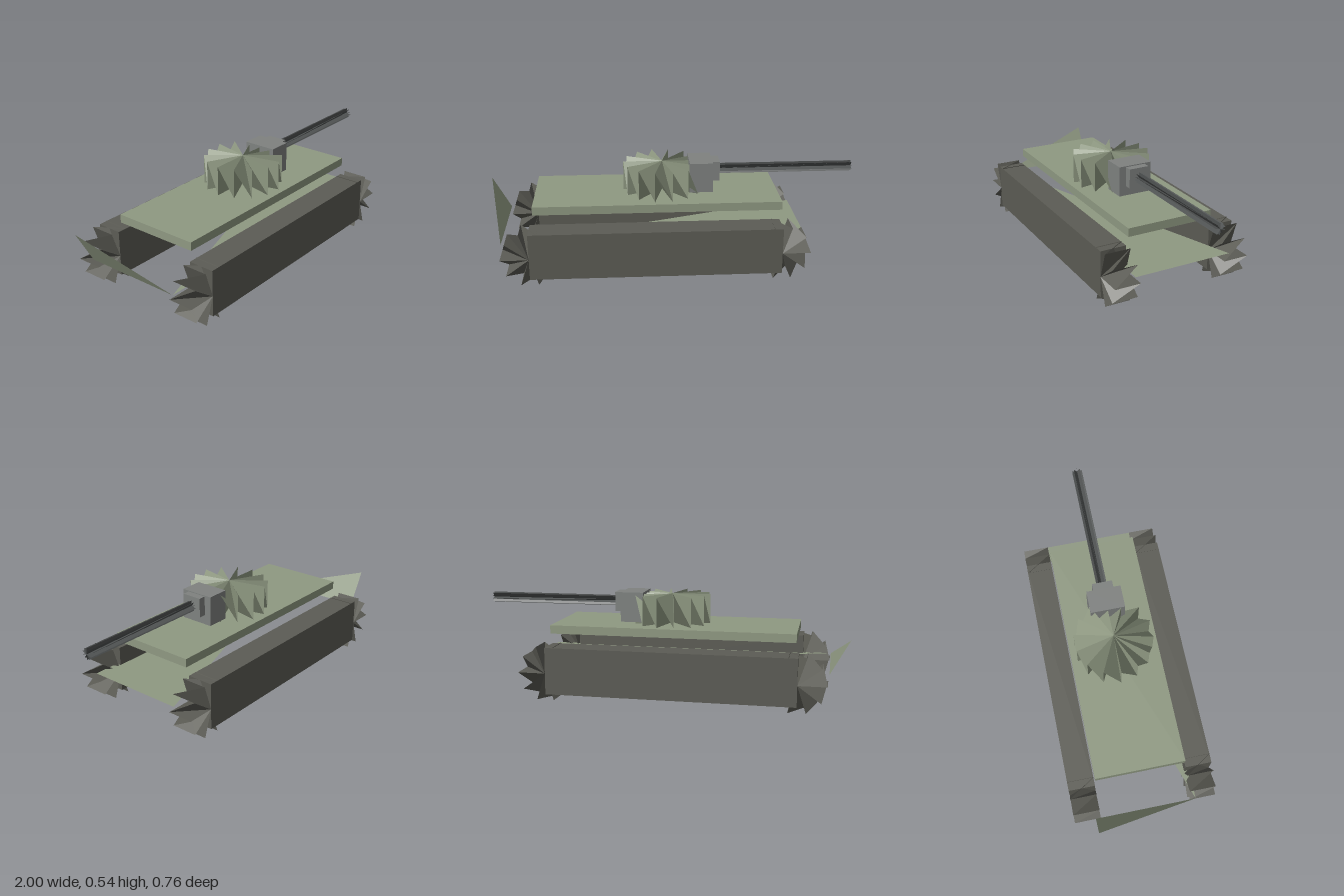
import * as THREE from 'three';

const paint = (color) => new THREE.MeshStandardMaterial({ color, flatShading: true, side: THREE.DoubleSide });

// Box given by its limits on each axis
function block(name, [x0, x1], [y0, y1], [z0, z1], material) {
  const mesh = new THREE.Mesh(new THREE.BoxGeometry(x1 - x0, y1 - y0, z1 - z0), material);
  mesh.position.set((x0 + x1) / 2, (y0 + y1) / 2, (z0 + z1) / 2);
  mesh.name = name;
  return mesh;
}

function triangles(name, points, material) {
  const geometry = new THREE.BufferGeometry();
  geometry.setAttribute('position', new THREE.Float32BufferAttribute(points.flat(), 3));
  geometry.computeVertexNormals();
  const mesh = new THREE.Mesh(geometry, material);
  mesh.name = name;
  return mesh;
}

// Pleated drum along y: both hubs fan out to a rim that zigzags between the two ends
function pleatedDrum(name, radius, height, sides, material) {
  const h = height / 2;
  const rim = [];
  for (let i = 0; i < sides; i++) {
    const a = (i / sides) * Math.PI * 2;
    const x = Math.cos(a) * radius, z = Math.sin(a) * radius;
    rim.push([x, h, z], [x, -h, z]);
  }
  const points = [];
  for (let i = 0; i < rim.length; i++) {
    const next = rim[(i + 1) % rim.length];
    points.push([0, h, 0], next, rim[i], [0, -h, 0], rim[i], next);
  }
  return triangles(name, points, material);
}

export function createModel() {
  const model = new THREE.Group();
  model.name = 'tank';
  const green = paint(0x8f9982);
  const trackGrey = paint(0x5c5c55);
  const steel = paint(0x7f8280);
  const gunGrey = paint(0x505353);

  // Tracks with a pleated wheel at each end
  for (const side of [1, -1]) {
    const track = new THREE.Group();
    track.name = side > 0 ? 'frontTrack' : 'backTrack';
    track.add(block('trackBody', [-0.746, 0.57], [0.03, 0.28], [side * 0.3125 - 0.07, side * 0.3125 + 0.07], trackGrey));
    for (const x of [-0.746, 0.57]) {
      const wheel = pleatedDrum('trackWheel', 0.149, 0.14, 10, trackGrey);
      wheel.rotation.x = Math.PI / 2;
      wheel.position.set(x, 0.142, side * 0.3125);
      track.add(wheel);
    }
    model.add(track);
  }

  // Hull: deck slab, thin belly plate and upright tail plate
  model.add(block('deck', [-0.73, 0.585], [0.33, 0.375], [-0.238, 0.238], green));
  model.add(triangles('bellyPlate', [[0.715, 0.18, 0.27], [0.715, 0.18, -0.27], [-0.9, 0.18, 0.27]], green));
  model.add(triangles('tailPlate', [[-0.9, 0.18, 0.27], [-0.9, 0.18, -0.27], [-1, 0.36, -0.27]], green));

  // Turret
  const turret = pleatedDrum('turret', 0.21, 0.16, 14, green);
  turret.position.set(-0.04, 0.455, 0);
  model.add(turret);

  // Gun
  model.add(block('mantlet', [0.105, 0.23], [0.383, 0.545], [-0.093, 0.093], steel));
  model.add(block('gunCollar', [0.23, 0.27], [0.435, 0.54], [-0.055, 0.055], steel));
  const barrel = pleatedDrum('barrel', 0.029, 0.73, 10, gunGrey);
  barrel.rotation.z = -Math.PI / 2;
  barrel.position.set(0.635, 0.487, 0);
  model.add(barrel);

  return model;
}
